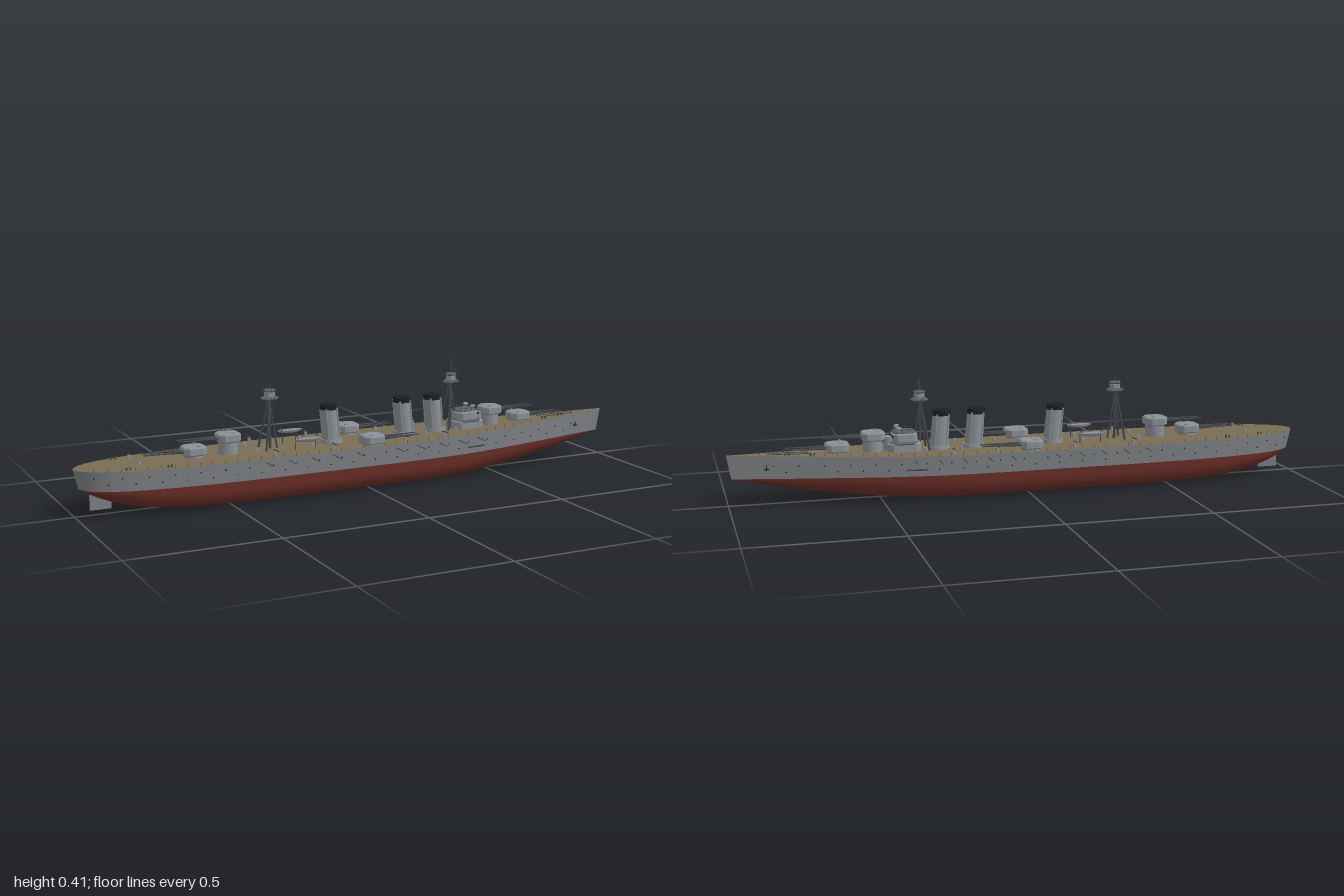
import * as THREE from 'three';
import { mergeGeometries } from 'three/addons/utils/BufferGeometryUtils.js';

const WATER = 0.09;
// Hull stations: x, half width, keel height, section roundness
const STATIONS = [
  [-1, 0.002, 0.089, 1], [-0.99, 0.026, 0.084, 1], [-0.97, 0.048, 0.074, 1], [-0.94, 0.067, 0.06, 0.95],
  [-0.9, 0.084, 0.045, 0.9], [-0.85, 0.098, 0.03, 0.85], [-0.8, 0.108, 0.02, 0.8], [-0.7, 0.122, 0.007, 0.7],
  [-0.6, 0.131, 0.002, 0.64], [-0.4, 0.138, 0, 0.6], [-0.1, 0.139, 0, 0.6], [0.1, 0.139, 0, 0.6],
  [0.2, 0.137, 0, 0.6], [0.3, 0.132, 0, 0.64], [0.4, 0.121, 0.003, 0.7], [0.5, 0.105, 0.01, 0.78],
  [0.6, 0.085, 0.021, 0.86], [0.7, 0.064, 0.035, 0.95], [0.8, 0.042, 0.051, 1.05], [0.9, 0.02, 0.069, 1.1], [1, 0.002, 0.089, 1.1],
];
const mat = (name, color) => new THREE.MeshStandardMaterial({ name, color });
const deckY = (x) => 0.154 + 0.016 * Math.pow(Math.max(0, (x - 0.1) / 0.9), 1.5);
const waterX = (x) => x - 0.015 * Math.sign(x) * Math.max(0, (Math.abs(x) - 0.8) / 0.2);
function halfWidth(x) {
  const i = Math.max(1, STATIONS.findIndex((s) => s[0] >= x));
  const [a, b] = [STATIONS[i - 1], STATIONS[i]];
  return a[1] + (b[1] - a[1]) * (x - a[0]) / (b[0] - a[0]);
}

// Surface through rows of points, one row per station
function loft(rows) {
  const n = rows[0].length, index = [];
  for (let i = 0; i < rows.length - 1; i++) for (let j = 0; j < n - 1; j++) {
    const a = i * n + j, b = a + n;
    index.push(a, a + 1, b, b, a + 1, b + 1);
  }
  const g = new THREE.BufferGeometry();
  g.setAttribute('position', new THREE.Float32BufferAttribute(rows.flat(2), 3));
  g.setIndex(index);
  g.computeVertexNormals();
  return g;
}

// Tapered rod from point a to point b
function rod(a, b, r0, r1 = r0, sides = 6) {
  const p = new THREE.Vector3(...a), q = new THREE.Vector3(...b), d = q.clone().sub(p);
  const g = new THREE.CylinderGeometry(r1, r0, d.length(), sides);
  g.applyQuaternion(new THREE.Quaternion().setFromUnitVectors(new THREE.Vector3(0, 1, 0), d.normalize()));
  return g.translate(...p.add(q).multiplyScalar(0.5).toArray());
}
const box = (w, h, d, x, y, z) => new THREE.BoxGeometry(w, h, d).translate(x, y, z);
const tube = (r0, r1, h, x, y, z, n = 20) => new THREE.CylinderGeometry(r1, r0, h, n).translate(x, y + h / 2, z);

// Block with chamfered corners and bevelled edges, standing on y
function chamferBlock(w, h, d, c, x, y, z) {
  const a = w / 2 - 0.004, b = d / 2 - 0.004;
  const s = new THREE.Shape([[-a, -b + c], [-a + c, -b], [a - c, -b], [a, -b + c], [a, b - c], [a - c, b], [-a + c, b], [-a, b - c]]
    .map((p) => new THREE.Vector2(...p)));
  return new THREE.ExtrudeGeometry(s, { depth: h - 0.008, bevelThickness: 0.004, bevelSize: 0.004, bevelSegments: 1 })
    .rotateX(-Math.PI / 2).translate(x, y + 0.004, z);
}

export function createModel() {
  const model = new THREE.Group();
  model.name = 'warship';
  const hullGrey = mat('hull grey', 0x7b7e81), red = mat('underwater red', 0x6a2e28), wood = mat('deck wood', 0x7a6c54);
  const grey = mat('superstructure grey', 0x8b9095), dark = mat('gunmetal', 0x45494c), black = mat('funnel black', 0x1e1f20);
  const slate = mat('bridge roof slate', 0x566264);
  const add = (name, geo, material, parent = model) => {
    const m = new THREE.Mesh(Array.isArray(geo) ? mergeGeometries(geo) : geo, material);
    m.name = name;
    parent.add(m);
    return m;
  };

  // Hull: painted underside, grey sides, planked deck
  add('hullBottom', loft(STATIONS.map(([x, w, k, p]) => Array.from({ length: 29 }, (_, j) => {
    const t = Math.PI * j / 28, c = Math.cos(t);
    return [waterX(x), WATER - (WATER - k) * Math.pow(Math.max(0, Math.sin(t)), p), Math.sign(c) * w * Math.pow(Math.abs(c), p)];
  }))), red);
  for (const s of [1, -1]) {
    add(s > 0 ? 'hullSideFront' : 'hullSideBack', loft(STATIONS.map(([x, w]) => {
      const row = [[x, deckY(x), s * w], [waterX(x), WATER, s * w]];
      return s > 0 ? row : row.reverse();
    })), hullGrey);
  }
  add('deck', loft(STATIONS.map(([x, w]) => [[x, deckY(x), -w], [x, deckY(x), w]])), wood);
  add('bowStem', rod([0.985, WATER, 0], [0.999, 0.17, 0], 0.003), hullGrey);
  add('rudder', box(0.07, 0.06, 0.006, -0.915, 0.046, 0), hullGrey);

  // Twin gun turrets: x, z, height, direction
  const turrets = [[-0.6, 0, 0.162, -1], [-0.48, 0, 0.194, -1], [0, 0.098, 0.16, 1], [0, -0.098, 0.16, 1], [0.52, 0, 0.196, 1], [0.64, 0, 0.164, 1]];
  for (const [x, z, y, dir] of turrets) {
    const g = new THREE.Group();
    g.name = 'gunTurret';
    g.position.set(x, y, z);
    if (dir < 0) g.rotation.y = Math.PI;
    model.add(g);
    add('barbette', tube(0.033, 0.033, y - 0.148, 0, 0.148 - y, 0, 24), grey, g);
    add('turretHouse', chamferBlock(0.078, 0.029, 0.074, 0.014, 0, 0, 0), grey, g);
    add('turretHoods', [-1, 1].map((s) => box(0.01, 0.005, 0.01, -0.012, 0.03, s * 0.022)), grey, g);
    add('gunBarrels', [-1, 1].flatMap((s) => [
      rod([0.03, 0.014, s * 0.014], [0.09, 0.015, s * 0.014], 0.005, 0.0036, 8),
      rod([0.09, 0.015, s * 0.014], [0.172, 0.016, s * 0.014], 0.0032, 0.0022, 8)]), dark, g);
  }

  // Raked funnels with black caps and steam pipes
  for (const x of [-0.11, 0.17, 0.29]) {
    const g = new THREE.Group();
    g.name = 'funnel';
    g.position.set(x + 0.006, 0.15, 0);
    model.add(g);
    add('funnelBase', tube(0.038, 0.036, 0.016, 0, 0, 0, 24), grey, g);
    const parts = [
      add('funnelCasing', tube(0.032, 0.029, 0.122, 0, 0, 0, 24), grey, g),
      add('funnelCap', [tube(0.03, 0.03, 0.014, 0, 0.122, 0, 24), tube(0.032, 0.032, 0.003, 0, 0.119, 0, 24)], black, g),
      add('steamPipes', [-1, 1].map((s) => tube(0.003, 0.003, 0.125, 0.02 * s, 0, 0.026, 6))
        .concat([-1, 1].map((s) => tube(0.003, 0.003, 0.125, 0.02 * s, 0, -0.026, 6))), grey, g),
    ];
    for (const m of parts) m.geometry.applyMatrix4(new THREE.Matrix4().makeShear(0, 0, -0.09, 0, 0, 0));
  }

  // Stepped bridge with conning tower
  add('bridgeBase', chamferBlock(0.115, 0.036, 0.094, 0.016, 0.418, 0.15, 0), grey);
  add('bridgeHouse', chamferBlock(0.085, 0.032, 0.078, 0.014, 0.415, 0.185, 0), grey);
  add('bridgeRoof', [chamferBlock(0.1, 0.009, 0.1, 0.016, 0.418, 0.18, 0), chamferBlock(0.078, 0.009, 0.07, 0.012, 0.415, 0.214, 0)], slate);
  add('conningTower', tube(0.018, 0.018, 0.055, 0.465, 0.15, 0), grey);
  add('bridgeWindows', [-0.027, -0.009, 0.009, 0.027].map((z) => box(0.003, 0.006, 0.011, 0.457, 0.207, z)), black);
  add('bridgeRails', [-1, 1].flatMap((s) => [rod([0.38, 0.23, s * 0.033], [0.45, 0.23, s * 0.033], 0.0008),
    ...[0.38, 0.403, 0.427, 0.45].map((x) => rod([x, 0.22, s * 0.033], [x, 0.23, s * 0.033], 0.0008))]), dark);
  add('searchlights', [-1, 1].flatMap((s) => [tube(0.002, 0.002, 0.01, 0.435, 0.22, s * 0.024, 6),
    rod([0.428, 0.233, s * 0.024], [0.443, 0.233, s * 0.024], 0.006, 0.006, 10)]), grey);

  // Tripod masts with spotting tops, yards and rigging
  for (const [x, top, yards] of [[-0.33, 0.388, [0.353, 0.313]], [0.36, 0.41, [0.372, 0.327]]]) {
    const g = new THREE.Group();
    g.name = 'mast';
    g.position.x = x;
    model.add(g);
    add('mastLegs', [rod([0, 0.15, 0], [0, 0.345, 0], 0.005, 0.003, 8),
      ...[-1, 1].map((s) => rod([-0.028, 0.15, s * 0.036], [-0.002, 0.325, s * 0.004], 0.004, 0.003, 8)),
      rod([0.026, 0.15, 0], [0.002, 0.3, 0], 0.003, 0.0025)], dark);
    g.add(model.children[model.children.length - 1]);
    add('topmast', rod([0, 0.33, 0], [0, top, 0], 0.0022, 0.001), dark, g);
    add('spottingTop', [chamferBlock(0.036, 0.022, 0.028, 0.008, 0, 0.327, 0)], grey, g);
    add('topPlatforms', [chamferBlock(0.06, 0.009, 0.046, 0.012, 0, 0.32, 0), chamferBlock(0.042, 0.009, 0.034, 0.01, 0, 0.346, 0)], slate, g);
    add('yards', yards.map((y) => rod([0, y, -0.057], [0, y, 0.057], 0.001)), dark, g);
    add('rigging', [-1, 1].flatMap((s) => [rod([0, yards[0], s * 0.056], [-0.02, 0.2, s * 0.028], 0.0004, 0.0004, 4),
      rod([0, top - 0.01, 0], [0, yards[1], s * 0.056], 0.0004, 0.0004, 4)]), dark, g);
  }

  // Ship's boats hanging from davits
  for (const s of [-1, 1]) {
    const hull = new THREE.SphereGeometry(1, 16, 8, 0, Math.PI * 2, Math.PI / 2, Math.PI / 2).scale(0.046, 0.012, 0.012);
    add('boat', [hull.translate(-0.225, 0.193, s * 0.075), tube(1, 1, 0.1, 0, 0, 0, 16).scale(0.046, 0.02, 0.012).translate(-0.225, 0.192, s * 0.075)], grey);
    add('davits', [-0.262, -0.188].map((x) => new THREE.TubeGeometry(new THREE.CatmullRomCurve3(
      [[0.055, 0.15], [0.055, 0.19], [0.061, 0.202], [0.075, 0.203], [0.075, 0.192]].map(([z, y]) => new THREE.Vector3(x, y, s * z))), 12, 0.0014, 5)), dark);
  }

  // Fittings mirrored on both sides
  for (const s of [-1, 1]) {
    const edge = (x, inset = 0) => s * (halfWidth(x) - inset);
    add('netBooms', [-0.4, -0.32, -0.24, -0.16, -0.075, 0.075, 0.155, 0.24, 0.32, 0.4]
      .map((x) => rod([x, 0.142, edge(x, 0.002)], [x, 0.142, edge(x) + s * 0.058], 0.0018, 0.0012)), dark);
    const posts = [], holes = [], vents = [], mounts = [], guns = [];
    for (let i = 0; i < 47; i++) {
      const x = -0.95 + i * 0.041, y = deckY(x), z = edge(x, 0.003);
      posts.push(rod([x, y, z], [x, y + 0.011, z], 0.0008, 0.0008, 4));
      for (const h of [0.112, 0.132]) if (i < 45 && (i + (h > 0.12 ? 1 : 0)) % 2) holes.push(rod([x, h, edge(x, 0.004)], [x, h, edge(x) + s * 0.001], 0.0024, 0.0024, 8));
    }
    for (const x of [-0.8, -0.4, -0.2, 0.09, 0.23, 0.35]) vents.push(tube(0.004, 0.004, 0.016, x, 0.15, s * 0.055, 8), tube(0.006, 0.005, 0.006, x, 0.164, s * 0.055, 8));
    for (const x of [-0.36, -0.15, 0.12, 0.27]) {
      mounts.push(tube(0.006, 0.005, 0.02, x, 0.15, s * 0.112, 8));
      guns.push(rod([x, 0.174, s * 0.106], [x, 0.177, s * 0.146], 0.0025, 0.0014));
    }
    add('railPosts', posts, dark);
    add('portholes', holes, black);
    add('ventilators', vents, grey);
    add('lightGunMounts', mounts, grey);
    add('lightGunBarrels', guns, dark);
    add('sideSpar', rod([0.36, 0.112, edge(0.36) + s * 0.002], [0.43, 0.112, edge(0.43) + s * 0.002], 0.003), dark);
    add('anchor', [rod([0.875, 0.136, edge(0.875) + s * 0.001], [0.875, 0.12, edge(0.875) + s * 0.001], 0.0018),
      rod([0.867, 0.122, edge(0.867) + s * 0.001], [0.883, 0.122, edge(0.883) + s * 0.001], 0.0025)], black);
    add('mooringBollards', [-0.85, -0.72, 0.72, 0.8].flatMap((x) => [0, 0.012].map((d) => tube(0.003, 0.003, 0.009, x + d, deckY(x) - 0.001, edge(x, 0.018), 8))), dark);
    add('anchorChain', rod([0.73, deckY(0.73) + 0.001, s * 0.012], [0.87, deckY(0.87) + 0.001, s * 0.012], 0.0015), dark);
  }
  return model;
}
